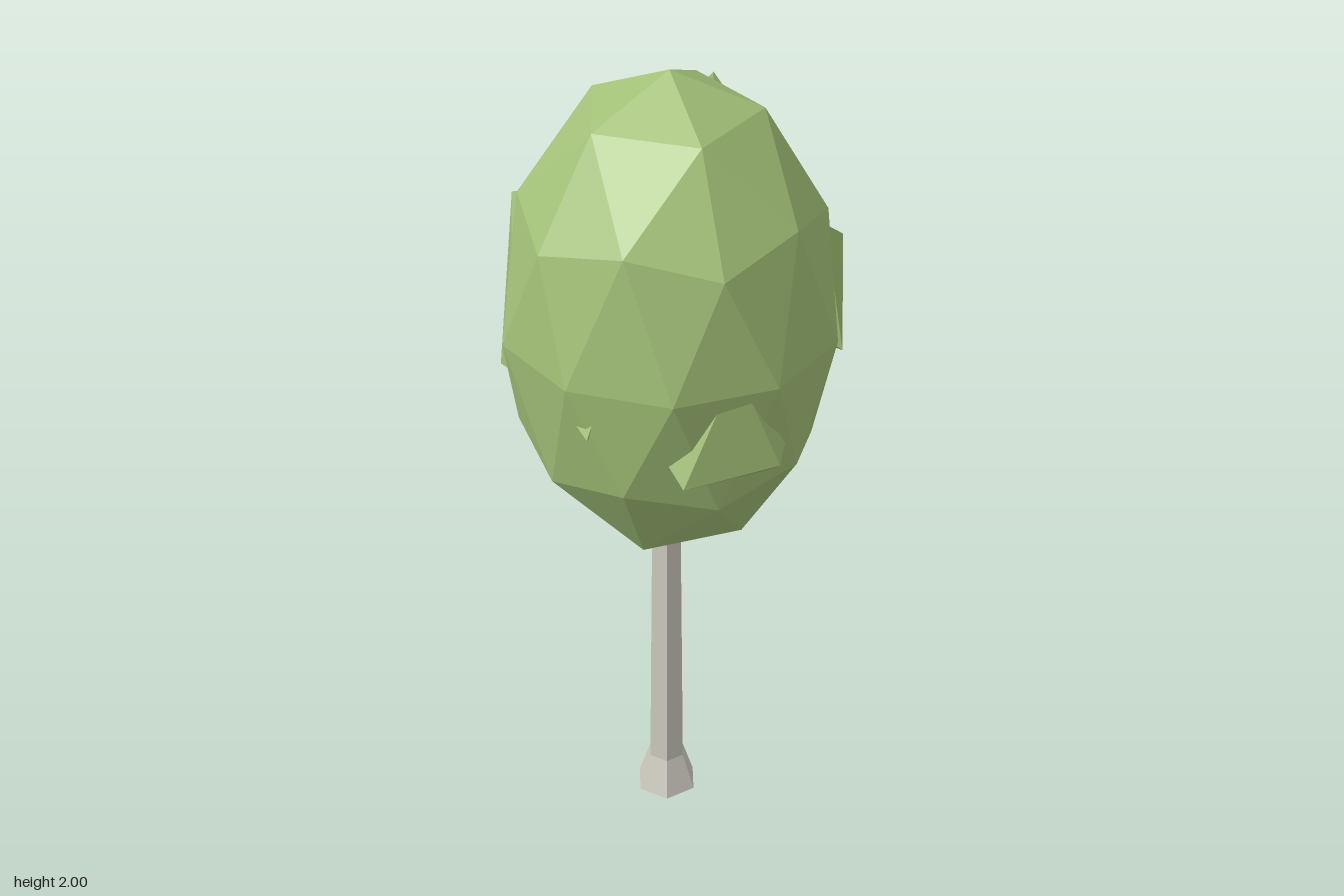
import * as THREE from 'three';
import { ConvexGeometry } from 'three/addons/geometries/ConvexGeometry.js';

export function createModel() {
  const tree = new THREE.Group();
  tree.name = 'tree';

  const leafGreen = new THREE.MeshStandardMaterial({ color: 0xa3c178, flatShading: true });
  leafGreen.name = 'leafGreen';
  const barkGrey = new THREE.MeshStandardMaterial({ color: 0xcfccc0, flatShading: true });
  barkGrey.name = 'barkGrey';

  const add = (name, geometry, material) => {
    const mesh = new THREE.Mesh(geometry, material);
    mesh.name = name;
    tree.add(mesh);
    return mesh;
  };

  // Trunk: a hexagonal post, with a flared foot
  const trunkPart = (name, topRadius, bottomRadius, y0, y1) => {
    const part = add(name, new THREE.CylinderGeometry(topRadius, bottomRadius, y1 - y0, 6), barkGrey);
    part.position.set(-0.01, (y0 + y1) / 2, 0.024);
  };
  trunkPart('trunkFoot', 0.048, 0.08, 0, 0.1);
  trunkPart('trunk', 0.039, 0.048, 0.1, 0.86);

  // Crown: a tall faceted ball standing on one of its corners
  const crown = new THREE.IcosahedronGeometry(1, 1);
  crown.rotateZ(Math.atan(2 / (1 + Math.sqrt(5))));
  crown.rotateY(Math.PI);
  crown.scale(0.395, 0.605, 0.4);
  crown.translate(-0.003, 1.395, 0.02);
  add('crown', crown, leafGreen);

  // Leaf clumps: angular lumps that push out through the crown
  const clumps = {
    backClump: [
      [0.1, 1.91, -0.17], [0.18, 1.66, -0.42], [-0.07, 1.65, -0.33], [0.33, 1.55, -0.17],
      [0.29, 1.31, -0.31], [0.03, 1.32, -0.385], [0.2, 1.24, -0.29], [0.33, 1.28, -0.16],
      [-0.06, 1.33, -0.3], [0.1, 1.4, -0.1],
    ],
    rightClump: [
      [-0.365, 1.58, -0.245], [-0.18, 1.57, -0.29], [-0.355, 1.57, 0.05], [-0.4, 1.2, -0.1],
      [-0.23, 1.2, -0.325], [-0.37, 1.28, 0.06], [-0.15, 1.25, -0.26], [-0.15, 1.35, -0.1],
    ],
    frontClump: [
      [0.135, 1.46, 0.365], [0.02, 1.18, 0.415], [0.235, 1.2, 0.35], [-0.02, 1.23, 0.37],
      [0.25, 1.22, 0.29], [0.04, 1.14, 0.34], [0.22, 1.15, 0.29], [0.1, 1.25, 0.2],
    ],
    leftClump: [
      [0.345, 1.63, 0.03], [0.39, 1.58, -0.02], [0.395, 1.31, 0.04], [0.38, 1.25, -0.08],
      [0.37, 1.42, -0.11], [0.34, 1.29, -0.12], [0.25, 1.4, 0],
    ],
    smallTuft: [
      [-0.17, 1.34, 0.345], [-0.215, 1.3, 0.33], [-0.19, 1.28, 0.365], [-0.18, 1.26, 0.32],
      [-0.17, 1.3, 0.28],
    ],
  };
  for (const [name, corners] of Object.entries(clumps)) {
    const points = corners.map((c) => new THREE.Vector3(...c));
    add(name, new ConvexGeometry(points), leafGreen);
  }

  return tree;
}
